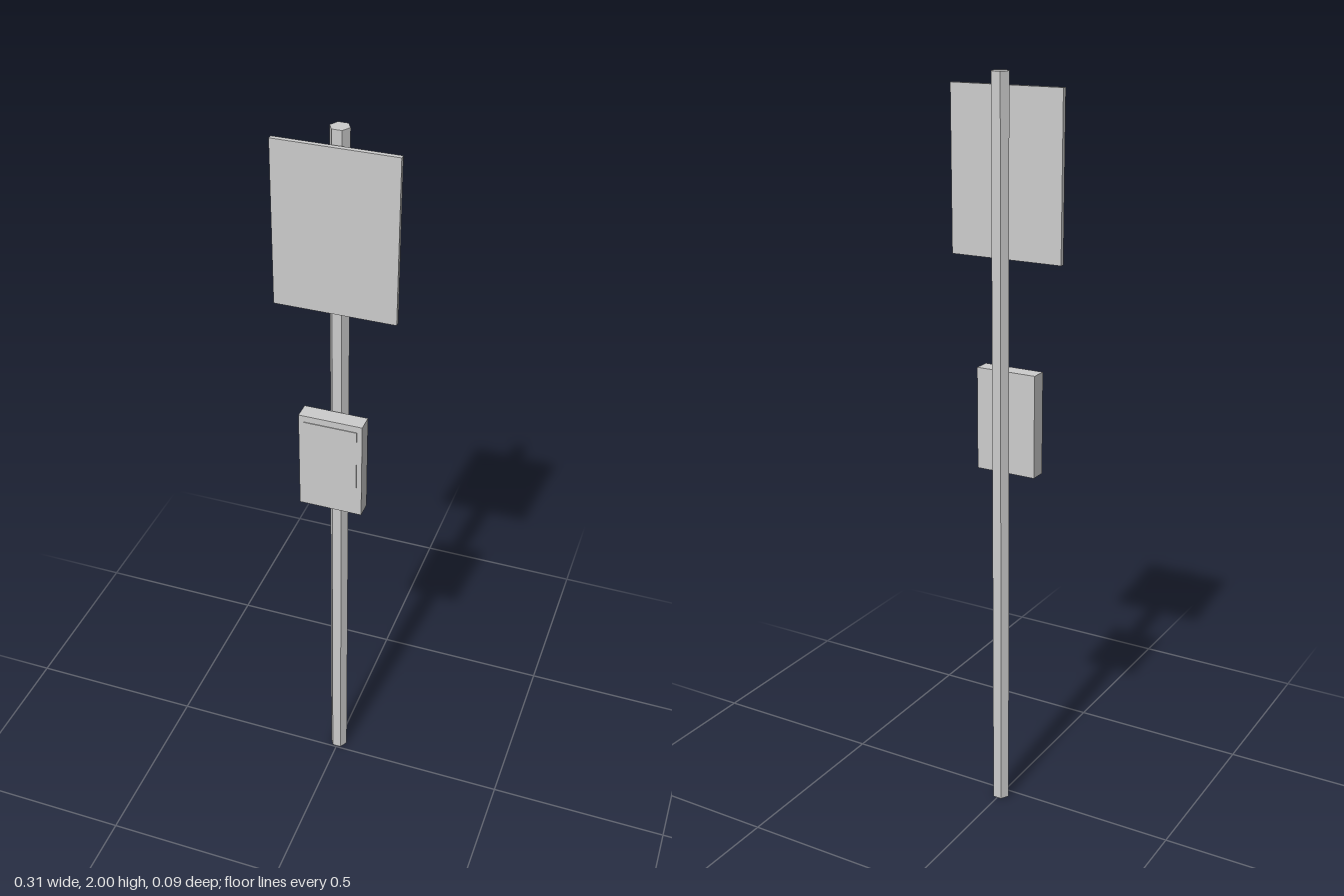
import * as THREE from 'three';

export function createModel() {
  const model = new THREE.Group();
  const grey = new THREE.MeshStandardMaterial({ color: 0xcccccc });
  grey.name = 'plain grey';
  grey.flatShading = true;

  const add = (name, geometry, x, y, z) => {
    const mesh = new THREE.Mesh(geometry, grey);
    mesh.name = name;
    mesh.position.set(x, y, z);
    model.add(mesh);
  };
  // Box given by its width and its y and z ranges
  const addBox = (name, width, y0, y1, z0, z1) =>
    add(name, new THREE.BoxGeometry(width, y1 - y0, z1 - z0), 0, (y0 + y1) / 2, (z0 + z1) / 2);

  // Six-sided pole with corners pointing left and right
  const pole = new THREE.CylinderGeometry(0.025, 0.025, 2, 6);
  pole.rotateY(Math.PI / 2);
  add('pole', pole, 0, 1, -0.026);

  // Large sign near the top
  addBox('signPanel', 0.313, 1.54, 1.965, 0, 0.0125);

  // Timetable case with a thin raised sheet on its front
  addBox('timetableCase', 0.17, 0.97, 1.248, 0, 0.045);
  addBox('timetableSheet', 0.142, 0.99, 1.23, 0.045, 0.047);

  return model;
}
